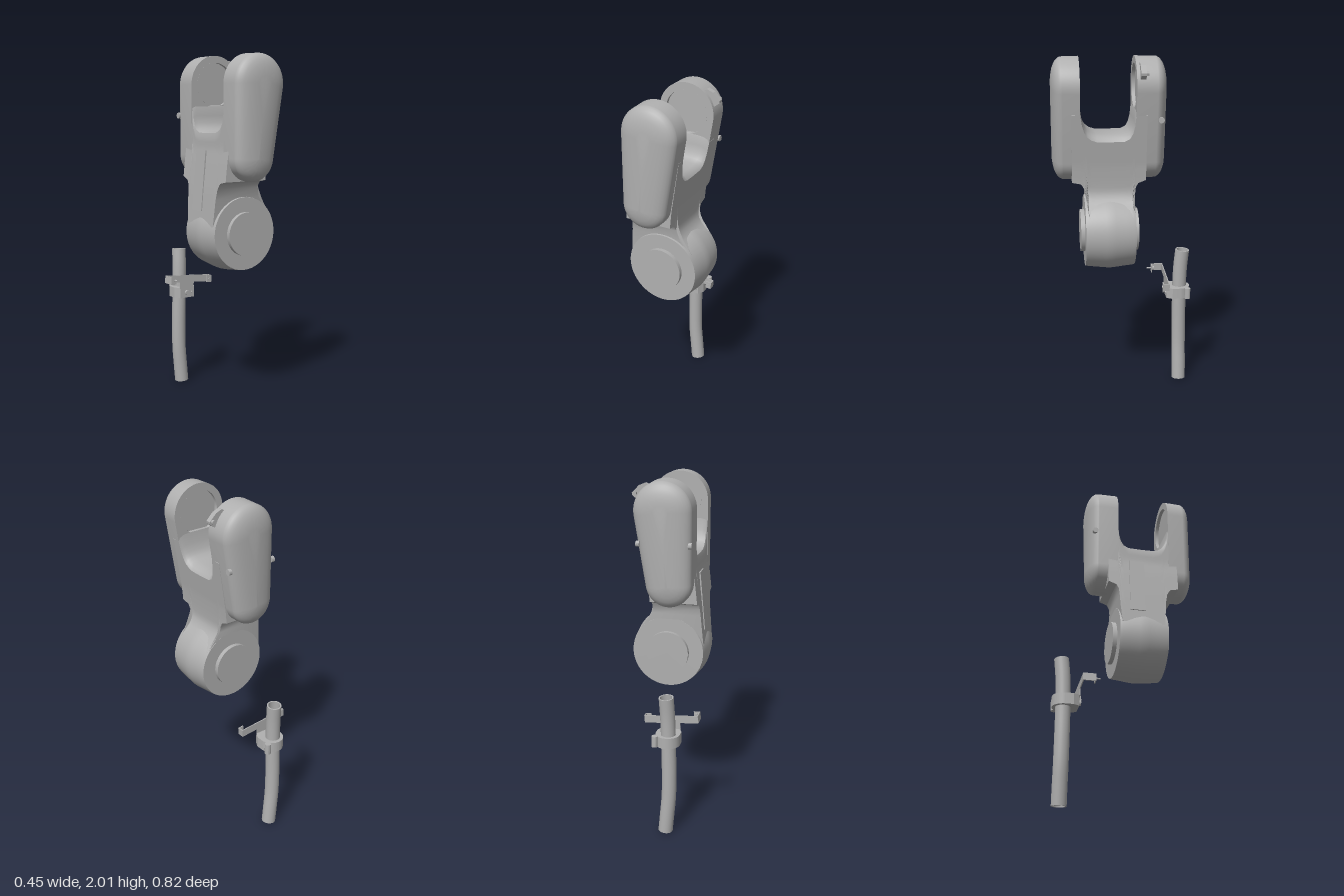
import * as THREE from 'three';
import { toCreasedNormals } from 'three/addons/utils/BufferGeometryUtils.js';

const grey = new THREE.MeshStandardMaterial({ color: 0xb0b0b0, side: THREE.DoubleSide });
grey.name = 'castGrey';

function add(parent, name, geo, x = 0, y = 0, z = 0) {
  const mesh = new THREE.Mesh(geo, grey);
  mesh.name = name;
  mesh.position.set(x, y, z);
  parent.add(mesh);
  return mesh;
}

// Skin rings of equal point count; optionally fan the ends shut
function loft(rings, capStart, capEnd, crease = 0.6) {
  const n = rings[0].length, pos = rings.flat(2), idx = [];
  for (let i = 0; i < rings.length - 1; i++) {
    for (let j = 0; j < n; j++) {
      const a = i * n + j, b = i * n + (j + 1) % n;
      idx.push(a, b, b + n, a, b + n, a + n);
    }
  }
  const cap = (ring, base, flip) => {
    const c = pos.length / 3;
    for (let k = 0; k < 3; k++) pos.push(ring.reduce((s, p) => s + p[k], 0) / n);
    for (let j = 0; j < n; j++) {
      const a = base + j, b = base + (j + 1) % n;
      if (flip) idx.push(c, b, a); else idx.push(c, a, b);
    }
  };
  if (capStart) cap(rings[0], 0, true);
  if (capEnd) cap(rings[rings.length - 1], (rings.length - 1) * n, false);
  const g = new THREE.BufferGeometry();
  g.setAttribute('position', new THREE.Float32BufferAttribute(pos, 3));
  g.setIndex(idx);
  return toCreasedNormals(g, crease);
}

// Tapered arm outline: large circle on top, smaller one below
const TOP = [0, 1.837, 0.163], LOW = [-0.033, 1.435, 0.13];
function armOutline(inset) {
  const pts = [];
  const arc = ([cx, cy, r], a0, a1) => {
    for (let i = 0; i <= 28; i++) {
      const a = a0 + (a1 - a0) * i / 28;
      pts.push([cx + (r - inset) * Math.cos(a), cy + (r - inset) * Math.sin(a)]);
    }
  };
  arc(TOP, -0.164, Math.PI);
  arc(LOW, Math.PI, 2 * Math.PI - 0.164);
  return pts;
}

function buildArm(name, inner, outer) {
  const arm = new THREE.Group();
  arm.name = name;
  const s = Math.sign(outer - inner);
  // depth below the crown, outline inset
  const dome = [[0.062, 0], [0.055, 0.001], [0.042, 0.008], [0.03, 0.02], [0.02, 0.036],
    [0.01, 0.062], [0.004, 0.092], [0, 0.122]];
  const stations = [[inner, -0.002], ...dome.map(([d, inset]) => [outer - s * d, inset])];
  if (s < 0) stations.reverse();
  const rings = stations.map(([z, inset]) => armOutline(inset).map(([x, y]) => [x, y, z]));
  add(arm, 'armShell', loft(rings, s < 0, s > 0, 0.5));
  // inner face with a round bearing seat
  const face = new THREE.Shape(armOutline(-0.002).map(p => new THREE.Vector2(...p)));
  face.holes.push(new THREE.Path().absarc(0, TOP[1], 0.125, 0, Math.PI * 2, true));
  add(arm, 'innerFace', new THREE.ShapeGeometry(face, 40), 0, 0, inner);
  const wall = new THREE.CylinderGeometry(0.125, 0.125, 0.02, 48, 1, true).rotateX(Math.PI / 2);
  add(arm, 'seatWall', wall, 0, TOP[1], inner + s * 0.01);
  add(arm, 'seatDisc', new THREE.CircleGeometry(0.125, 48), 0, TOP[1], inner + s * 0.02);
  return arm;
}

// Piecewise linear lookup
function lerpTable(table, v) {
  for (let i = 1; i < table.length; i++) {
    const [a, fa] = table[i - 1], [b, fb] = table[i];
    if (v <= b) return fa + (fb - fa) * Math.max(0, (v - a) / (b - a));
  }
  return table[table.length - 1][1];
}

function buildYoke() {
  const left = [[1.05, -0.207], [1.25, -0.19], [1.4, -0.174], [1.48, -0.163], [1.8, -0.163]];
  const right = [[1.05, 0.2], [1.11, 0.182], [1.155, 0.148], [1.185, 0.115], [1.22, 0.094],
    [1.255, 0.087], [1.32, 0.091], [1.4, 0.099], [1.8, 0.16]];
  // z, saddle height, underside height
  const stations = [[-0.12, 1.72, 1.312], [-0.075, 1.72, 1.295], [-0.062, 1.72, 1.27], [-0.057, 1.71, 1.23],
    [-0.052, 1.66, 1.15], [-0.042, 1.62, 1.05], [-0.025, 1.59, 1.05], [0.005, 1.575, 1.05],
    [0.09, 1.573, 1.05], [0.16, 1.575, 1.05], [0.19, 1.585, 1.05], [0.21, 1.6, 1.05],
    [0.219, 1.61, 1.2], [0.23, 1.63, 1.26], [0.243, 1.67, 1.285], [0.252, 1.73, 1.295], [0.3, 1.73, 1.305]];
  const rings = stations.map(([z, hi, lo]) => {
    const ring = [], n = 22, sideTop = hi - 0.035;
    for (let i = 0; i <= n; i++) {
      const y = lo + (sideTop - lo) * i / n;
      ring.push([lerpTable(right, y), y, z]);
    }
    const r = lerpTable(right, sideTop);
    ring.push([r - 0.012, hi - 0.016, z], [r - 0.035, hi - 0.005, z], [r - 0.07, hi, z]);
    const l = lerpTable(left, sideTop);
    ring.push([l + 0.03, hi, z], [l + 0.006, hi - 0.008, z]);
    for (let i = n; i >= 0; i--) {
      const y = lo + (sideTop - lo) * i / n;
      ring.push([lerpTable(left, y), y, z]);
    }
    return ring;
  });
  return loft(rings, true, true, 0.7);
}

function lathe(profile) {
  const g = new THREE.LatheGeometry(profile.map(p => new THREE.Vector2(...p)), 72);
  return toCreasedNormals(g.rotateX(Math.PI / 2), 0.5);
}

function bolt(parent, name, r, len, axis, x, y, z) {
  const g = new THREE.CylinderGeometry(r, r, len, 16);
  if (axis === 'z') g.rotateX(Math.PI / 2);
  if (axis === 'x') g.rotateZ(Math.PI / 2);
  return add(parent, name, toCreasedNormals(g, 0.6), x, y, z);
}

function buildPipe() {
  const pipe = new THREE.Group();
  pipe.name = 'pipe';
  const path = new THREE.CatmullRomCurve3([[-0.057, 0, -0.353], [-0.066, 0.1, -0.353], [-0.076, 0.22, -0.352],
    [-0.078, 0.36, -0.351], [-0.075, 0.52, -0.35], [-0.072, 0.65, -0.351], [-0.069, 0.74, -0.355],
    [-0.064, 0.84, -0.364]].map(p => new THREE.Vector3(...p)));
  add(pipe, 'pipeOuter', new THREE.TubeGeometry(path, 40, 0.042, 28));
  add(pipe, 'pipeInner', new THREE.TubeGeometry(path, 40, 0.034, 28));
  for (const t of [0, 1]) {
    const p = path.getPoint(t);
    const rim = add(pipe, 'pipeRim', new THREE.RingGeometry(0.034, 0.042, 28), p.x, p.y, p.z);
    rim.lookAt(p.clone().addScaledVector(path.getTangent(t), t ? 1 : -1));
  }
  return pipe;
}

function buildClamp() {
  const clamp = new THREE.Group();
  clamp.name = 'pipeClamp';
  const s = new THREE.Shape();
  s.absarc(-0.068, 0.342, 0.07, 0, Math.PI, false);
  [[-0.138, 0.3], [-0.118, 0.265], [-0.018, 0.265], [0.002, 0.3]].forEach(p => s.lineTo(...p));
  s.holes.push(new THREE.Path().absarc(-0.073, 0.35, 0.042, 0, Math.PI * 2, true));
  const g = new THREE.ExtrudeGeometry(s, { depth: 0.064, bevelEnabled: false, curveSegments: 28 });
  add(clamp, 'clampBody', toCreasedNormals(g.rotateX(-Math.PI / 2), 0.5), 0, 0.548, 0);
  bolt(clamp, 'clampHinge', 0.018, 0.064, 'y', -0.003, 0.58, -0.39);
  bolt(clamp, 'clampBolt', 0.015, 0.016, 'z', -0.072, 0.58, -0.258);
  bolt(clamp, 'clampPin', 0.007, 0.008, 'z', -0.034, 0.58, -0.262);

  // Bent strap bracket above the clamp, slightly tilted
  const strap = new THREE.Group();
  strap.name = 'strapBracket';
  strap.position.set(-0.07, 0.667, 0);
  strap.rotation.z = -0.085;
  clamp.add(strap);
  const box = (name, w, h, d, x, y, z) => add(strap, name, new THREE.BoxGeometry(w, h, d), x, y, z);
  box('strapPlate', 0.314, 0.044, 0.006, 0.001, 0, -0.264);
  box('strapTab', 0.1, 0.06, 0.006, 0, -0.034, -0.264);
  box('leftLeg', 0.006, 0.044, 0.07, -0.154, 0, -0.23);
  box('leftFoot', 0.038, 0.044, 0.006, -0.138, 0, -0.197);
  box('rightLeg', 0.006, 0.044, 0.035, 0.155, 0, -0.247);
  box('rightFoot', 0.034, 0.044, 0.006, 0.141, 0, -0.231);
  bolt(strap, 'footBolt', 0.011, 0.012, 'z', -0.132, 0.004, -0.206);
  bolt(strap, 'footStud', 0.005, 0.035, 'z', -0.132, 0.004, -0.185);
  bolt(strap, 'footBolt', 0.008, 0.01, 'z', 0.14, -0.002, -0.228);
  return clamp;
}

export function createModel() {
  const model = new THREE.Group();
  model.name = 'jointedArm';

  // Fork
  model.add(buildArm('frontArm', 0.252, 0.41), buildArm('backArm', -0.059, -0.238));
  add(model, 'yoke', buildYoke());
  add(model, 'neckPlate', new THREE.BoxGeometry(0.008, 0.34, 0.09), -0.187, 1.3, 0.05).rotation.z = -0.09;

  // Barrel joint with round bosses on both ends
  add(model, 'barrel', lathe([[0, -0.055], [0.208, -0.055], [0.211, -0.04], [0.215, 0], [0.222, 0.06],
    [0.224, 0.087], [0.222, 0.115], [0.215, 0.175], [0.211, 0.212], [0.208, 0.23], [0, 0.23]]), 0, 1, 0);
  add(model, 'barrelBoss', lathe([[0, -0.08], [0.124, -0.08], [0.124, 0.254], [0, 0.254]]), 0, 1, 0);

  // Small latch at the top of the back arm
  const s = new THREE.Shape([[0.08, 1.96], [0.115, 1.976], [0.15, 1.962], [0.19, 1.922], [0.188, 1.908],
    [0.165, 1.89], [0.14, 1.88]].map(p => new THREE.Vector2(...p)));
  add(model, 'latch', new THREE.ExtrudeGeometry(s, { depth: 0.03, bevelEnabled: false }), 0, 0, -0.108);
  bolt(model, 'latchBolt', 0.012, 0.04, 'z', 0.172, 1.92, -0.103);

  // Side screws on the back arm
  bolt(model, 'sideScrew', 0.017, 0.02, 'x', 0.134, 1.66, -0.198);
  bolt(model, 'sideScrew', 0.017, 0.02, 'x', -0.158, 1.66, -0.198);

  model.add(buildPipe(), buildClamp());
  return model;
}
